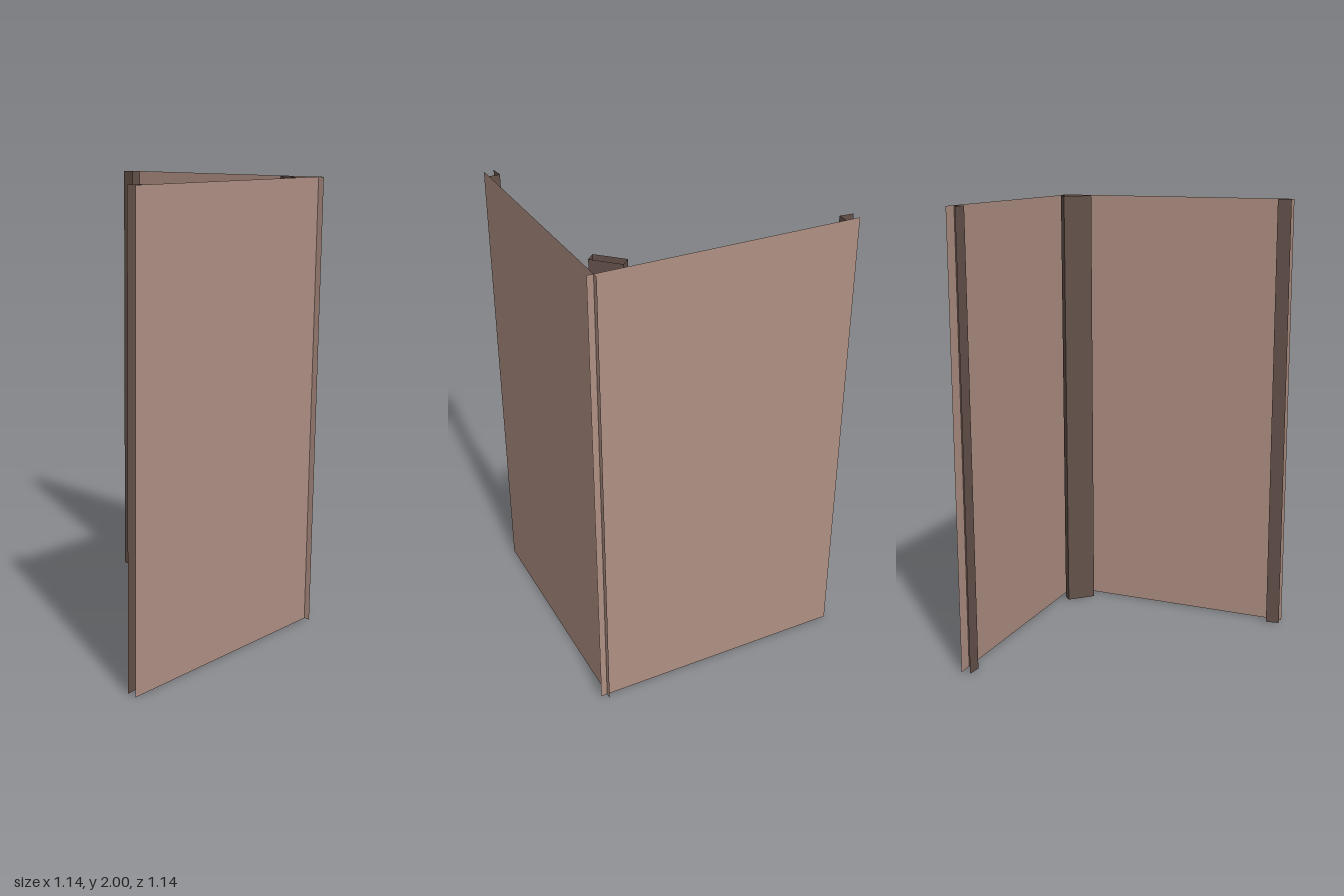
import * as THREE from 'three';

const HEIGHT = 2;

// Upright sheet that follows a plan path of [x, z] points, each fold kept sharp
function uprightSheet(name, path, material) {
  const positions = [];
  for (let i = 0; i < path.length - 1; i++) {
    const [ax, az] = path[i];
    const [bx, bz] = path[i + 1];
    positions.push(
      ax, 0, az, bx, 0, bz, bx, HEIGHT, bz,
      ax, 0, az, bx, HEIGHT, bz, ax, HEIGHT, az
    );
  }
  const geometry = new THREE.BufferGeometry();
  geometry.setAttribute('position', new THREE.Float32BufferAttribute(positions, 3));
  geometry.computeVertexNormals();
  const mesh = new THREE.Mesh(geometry, material);
  mesh.name = name;
  return mesh;
}

export function createModel() {
  const panelBrown = new THREE.MeshStandardMaterial({ color: 0xb09084, side: THREE.DoubleSide });
  panelBrown.name = 'panelBrown';
  const frameBrown = new THREE.MeshStandardMaterial({ color: 0x64514a, side: THREE.DoubleSide });
  frameBrown.name = 'frameBrown';

  const model = new THREE.Group();
  model.name = 'cornerWall';

  // Two thin panels that cross just short of their ends at the corner
  const wall = 0.545;
  const half = 0.572;
  model.add(
    uprightSheet('frontPanel', [[-half, wall], [half, wall]], panelBrown),
    uprightSheet('sidePanel', [[wall, half], [wall, -half]], panelBrown)
  );

  // Folded edge stiffeners behind the free end of each panel
  const edge = [[-0.51, 0.544], [-0.51, 0.497], [-half, 0.502]];
  model.add(
    uprightSheet('frontEdgeBracket', edge, frameBrown),
    uprightSheet('sideEdgeBracket', edge.map(([x, z]) => [z, x]), frameBrown)
  );

  // Open hollow post set diagonally inside the corner
  model.add(uprightSheet('cornerPost',
    [[0.392, 0.48], [0.425, 0.512], [0.52, 0.418], [0.488, 0.385], [0.392, 0.48]], frameBrown));

  return model;
}
